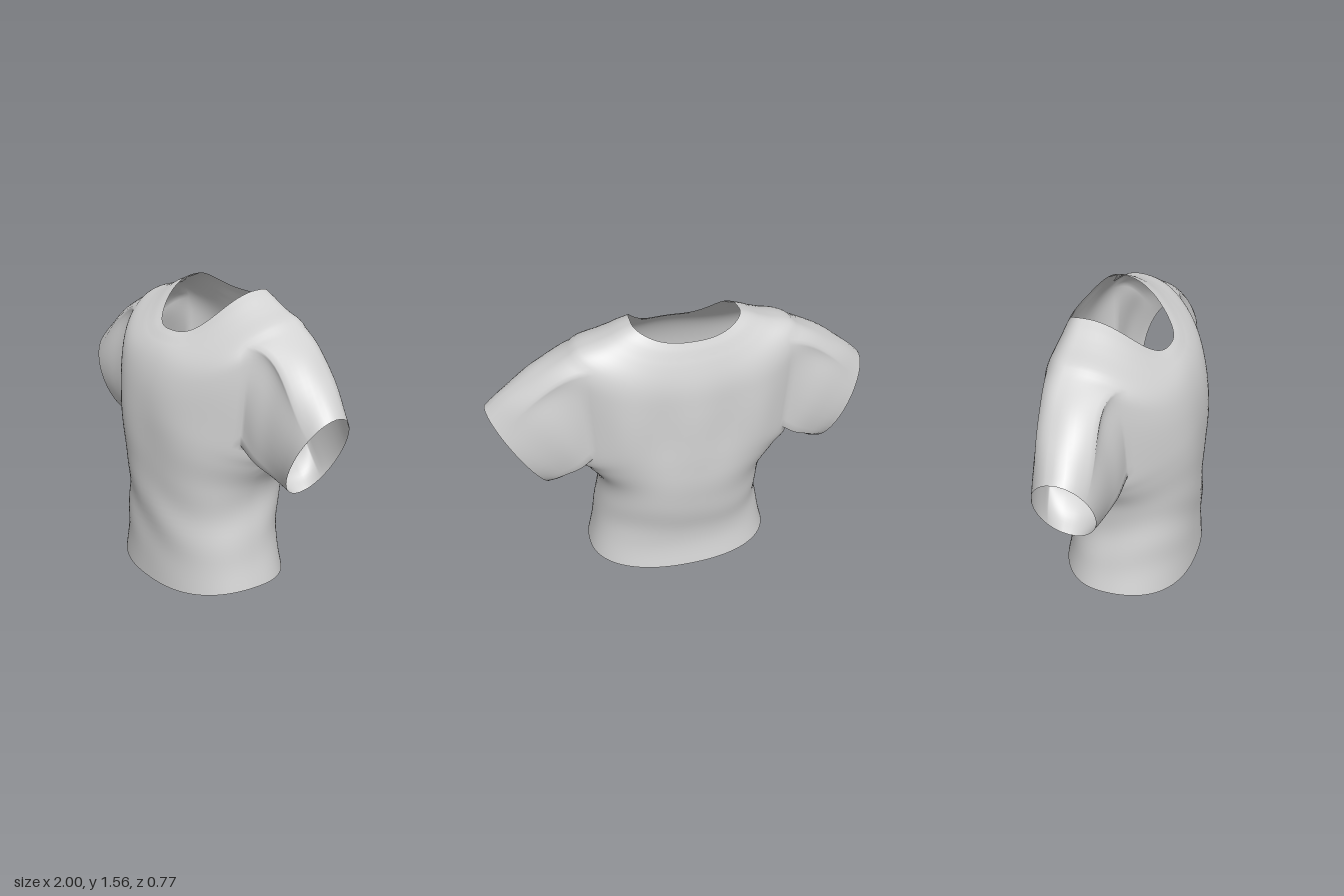
import * as THREE from 'three';

const COLS = 96;      // columns around the body
const STEP = 6;       // rows between two key rings
const ARM = 8;        // half width of an armhole, in columns
const LAYERS = 14;    // rings along a sleeve

// Key rings, hem to neckline:
// half width, side z, front z, back z, side y, front y, back y
const RINGS = [
  [0.51, 0.0, 0.378, -0.34, 0.045, 0.0, 0.05],
  [0.475, 0.0, 0.37, -0.32, 0.2, 0.19, 0.2],
  [0.445, 0.0, 0.372, -0.345, 0.41, 0.41, 0.41],
  [0.455, -0.02, 0.38, -0.378, 0.59, 0.62, 0.61],
  [0.525, -0.08, 0.385, -0.38, 0.715, 0.8, 0.78],
  [0.575, -0.135, 0.38, -0.375, 0.825, 0.95, 0.94],
  [0.595, -0.15, 0.36, -0.37, 1.26, 1.09, 1.12],
  [0.57, -0.15, 0.325, -0.36, 1.43, 1.2, 1.26],
  [0.42, -0.155, 0.275, -0.33, 1.49, 1.28, 1.38],
  [0.268, -0.165, 0.2, -0.29, 1.553, 1.345, 1.485],
];
const ROWS = (RINGS.length - 1) * STEP;
const ARM_LOW = 5 * STEP;
const ARM_TOP = 7 * STEP;
const COLLAR = ROWS - 4;

// Smooth interpolation of the key ring values
function ringAt(row) {
  const last = RINGS.length - 1;
  const i = Math.min(Math.floor(row / STEP), last - 1);
  const t = row / STEP - i;
  const [p0, p1, p2, p3] = [i - 1, i, i + 1, i + 2]
    .map((k) => RINGS[Math.max(0, Math.min(last, k))]);
  return p1.map((b, k) => {
    const a = p0[k], c = p2[k], d = p3[k];
    return b + 0.5 * t * (c - a + t * (2 * a - 5 * b + 4 * c - d + t * (3 * (b - c) + d - a)));
  });
}

const bump = (v, centre, width) => Math.exp(-(((v - centre) / width) ** 2));

// Soft cloth folds: slanted at the waist, upright on the upper back
function fold(angle, x, y, z) {
  const waist = 0.006 * bump(y, 0.4, 0.2) * Math.sin(17 * y + 5 * x + 2 * Math.sin(angle * 2));
  const chest = z > 0 ? 0.005 * bump(y, 0.8, 0.25) * Math.sin(13 * x + 5 * y) : 0;
  const back = z < -0.1 ? 0.008 * bump(y, 1.0, 0.25) * Math.cos(19 * x) : 0;
  return waist + chest + back;
}

function bodyPoint(row, col) {
  const [a, zs, zf, zb, ys, yf, yb] = ringAt(row);
  const angle = (col / COLS) * Math.PI * 2;
  const c = Math.cos(angle), s = Math.sin(angle);
  const round = (v) => Math.sign(v) * Math.abs(v) ** 0.88;
  const z = zs + round(s) * (s > 0 ? zf - zs : zs - zb);
  let y = THREE.MathUtils.lerp(s > 0 ? yf : yb, ys, Math.abs(c) ** (s > 0 ? 2.9 : 2.4));
  const x = a * round(c) + 0.012 * bump(y, 0.2, 0.4); // hem hangs slightly to one side
  const d = fold(angle, x, y, z);
  if (row > COLLAR) y += 0.004; // raised neckband
  return new THREE.Vector3(x + c * d, y, z + s * d);
}

// Adds a sleeve from the armhole loop to the tilted cuff
function addSleeve(points, loop, mid, cuffX, cuffTilt) {
  const index = [];
  const centre = new THREE.Vector3(cuffX, 0.865, -0.05);
  const up = new THREE.Vector3(cuffTilt, 0.236, 0.02);
  const across = new THREE.Vector3(0, 0, 0.158);

  const strands = loop.map(([r, c]) => {
    const start = bodyPoint(r, c);
    const phi = Math.atan2((start.y - 1.13) / 0.29, (start.z + 0.08) / 0.19);
    const radial = up.clone().multiplyScalar(Math.sin(phi)).addScaledVector(across, Math.cos(phi));
    const end = radial.clone().add(centre);
    // Leave the shoulder along the body surface, but crease at the armpit
    const dr = (r - (ARM_LOW + ARM_TOP) / 2) / STEP, dc = (c - mid) / ARM;
    const len = Math.hypot(dr, dc);
    const flow = start.clone().sub(bodyPoint(r + dr / len, c + dc / len));
    flow.setLength(start.distanceTo(end)).sub(end).add(start);
    const soft = THREE.MathUtils.smoothstep(start.y, 0.95, 1.3);
    const rear = THREE.MathUtils.smoothstep(-start.z, 0.12, 0.25) * (1 - 0.6 * soft);
    flow.multiplyScalar(soft * (1 - 0.6 * rear));
    return { start, end, radial, flow, phi };
  });

  let previous = loop.map(([r, c]) => r * COLS + ((c + COLS) % COLS));
  for (let l = 1; l <= LAYERS; l++) {
    const t = l / LAYERS;
    const arch = Math.sin(Math.PI * t);
    const ring = strands.map(({ start, end, radial, flow, phi }) => {
      const q = start.clone().lerp(end, t);
      q.addScaledVector(flow, t * (1 - t) ** 2);
      q.addScaledVector(radial, arch * (0.11 + 0.01 * Math.sin(10 * t + 3 * phi)));
      return points.push(q) - 1;
    });
    for (let k = 0; k < loop.length; k++) {
      const n = (k + 1) % loop.length;
      index.push(previous[k], ring[k], previous[n], ring[k], ring[n], previous[n]);
    }
    previous = ring;
  }
  return index;
}

export function createModel() {
  const cloth = new THREE.MeshStandardMaterial({ color: 0xd2d2d2, side: THREE.DoubleSide });
  cloth.name = 'light grey cloth';

  const points = [];
  for (let r = 0; r <= ROWS; r++) for (let c = 0; c < COLS; c++) points.push(bodyPoint(r, c));
  const id = (r, c) => r * COLS + (c % COLS);

  // Body and neckband, leaving the armholes open
  const parts = { body: [], neckband: [] };
  for (let r = 0; r < ROWS; r++) {
    for (let c = 0; c < COLS; c++) {
      const fromSide = (c + ARM) % (COLS / 2);
      if (r >= ARM_LOW && r < ARM_TOP && fromSide < 2 * ARM) continue;
      (r >= COLLAR ? parts.neckband : parts.body).push(
        id(r, c), id(r + 1, c), id(r, c + 1),
        id(r + 1, c), id(r + 1, c + 1), id(r, c + 1));
    }
  }

  // Sleeves, grown from the edge of each armhole; the right one hangs wider
  const sleeves = [['leftSleeve', 0, 0.857, 0.143], ['rightSleeve', COLS / 2, -0.88, -0.12]];
  for (const [name, mid, cuffX, cuffTilt] of sleeves) {
    const loop = [];
    for (let c = -ARM; c < ARM; c++) loop.push([ARM_LOW, mid + c]);
    for (let r = ARM_LOW; r < ARM_TOP; r++) loop.push([r, mid + ARM]);
    for (let c = ARM; c > -ARM; c--) loop.push([ARM_TOP, mid + c]);
    for (let r = ARM_TOP; r > ARM_LOW; r--) loop.push([r, mid - ARM]);
    parts[name] = addSleeve(points, loop, mid, cuffX, cuffTilt);
  }

  // Shared normals keep the seams between parts smooth
  const whole = new THREE.BufferGeometry().setFromPoints(points);
  whole.setIndex(Object.values(parts).flat());
  whole.computeVertexNormals();

  const shirt = new THREE.Group();
  shirt.name = 'shirt';
  for (const [name, index] of Object.entries(parts)) {
    const geometry = new THREE.BufferGeometry();
    geometry.setAttribute('position', whole.attributes.position);
    geometry.setAttribute('normal', whole.attributes.normal);
    geometry.setIndex(index);
    const mesh = new THREE.Mesh(geometry, cloth);
    mesh.name = name;
    shirt.add(mesh);
  }
  return shirt;
}
